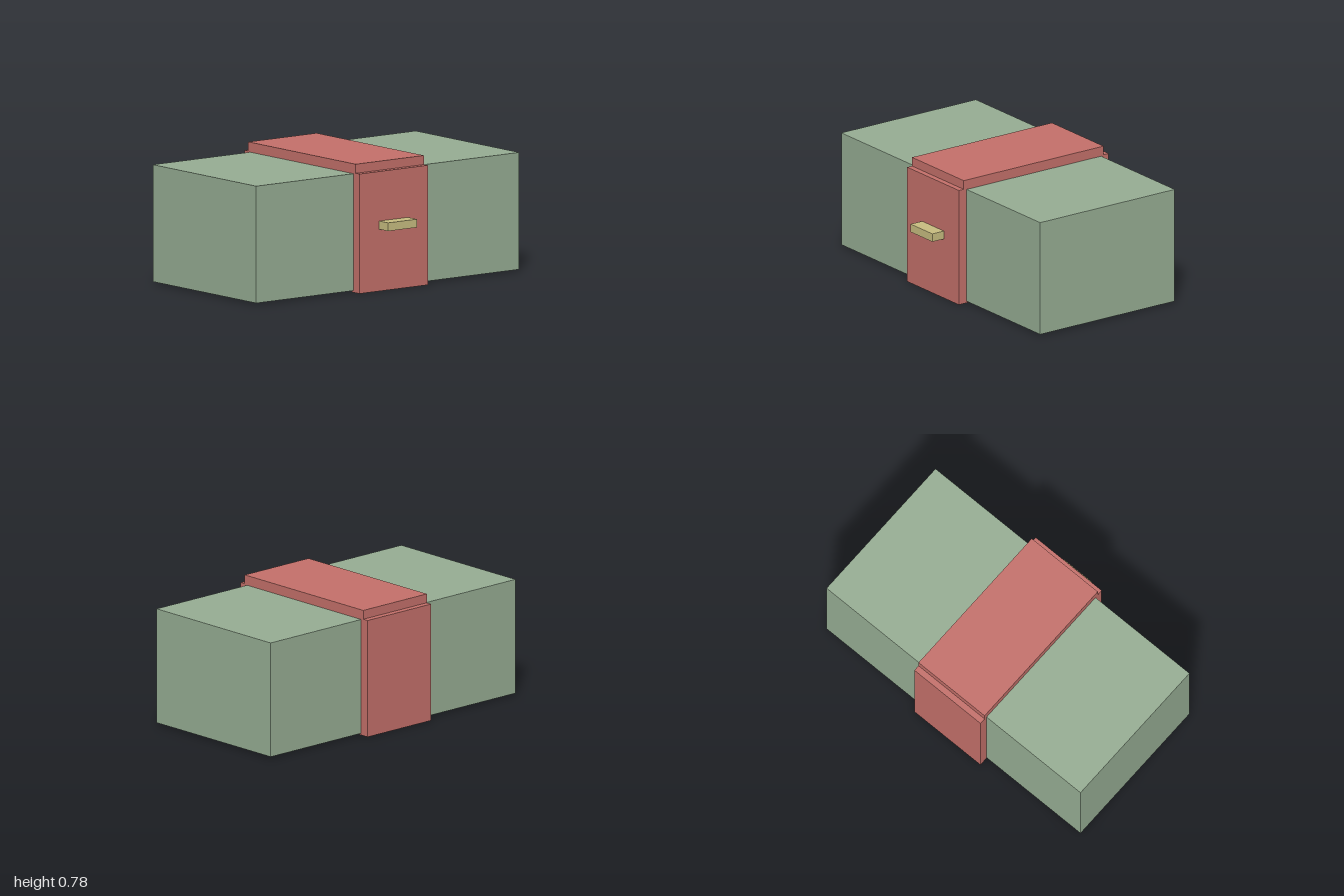
import * as THREE from 'three';

const material = (name, color) => {
  const m = new THREE.MeshStandardMaterial({ color });
  m.name = name;
  return m;
};

export function createModel() {
  const model = new THREE.Group();
  model.name = 'bandedBox';

  const green = material('sage green', 0x96ad93);
  const red = material('dusty red', 0xc4706a);
  const brass = material('pale brass', 0xc8bd80);

  // Box part given by its [min, max] range on each axis
  const addBox = (name, mat, [x0, x1], [y0, y1], [z0, z1]) => {
    const mesh = new THREE.Mesh(new THREE.BoxGeometry(x1 - x0, y1 - y0, z1 - z0), mat);
    mesh.position.set((x0 + x1) / 2, (y0 + y1) / 2, (z0 + z1) / 2);
    mesh.name = name;
    model.add(mesh);
  };

  // Main body
  addBox('body', green, [-1, 1], [0.011, 0.72], [-0.544, 0.457]);

  // Band wrapped over the front, top and back
  const bandX = [-0.26, 0.26];
  addBox('frontBand', red, bandX, [0, 0.725], [0.443, 0.514]);
  addBox('backBand', red, bandX, [0, 0.725], [-0.6, -0.53]);
  addBox('topBand', red, bandX, [0.709, 0.78], [-0.562, 0.478]);

  // Handle on the front band
  addBox('handle', brass, [-0.11, 0.11], [0.375, 0.425], [0.5, 0.6]);

  return model;
}
